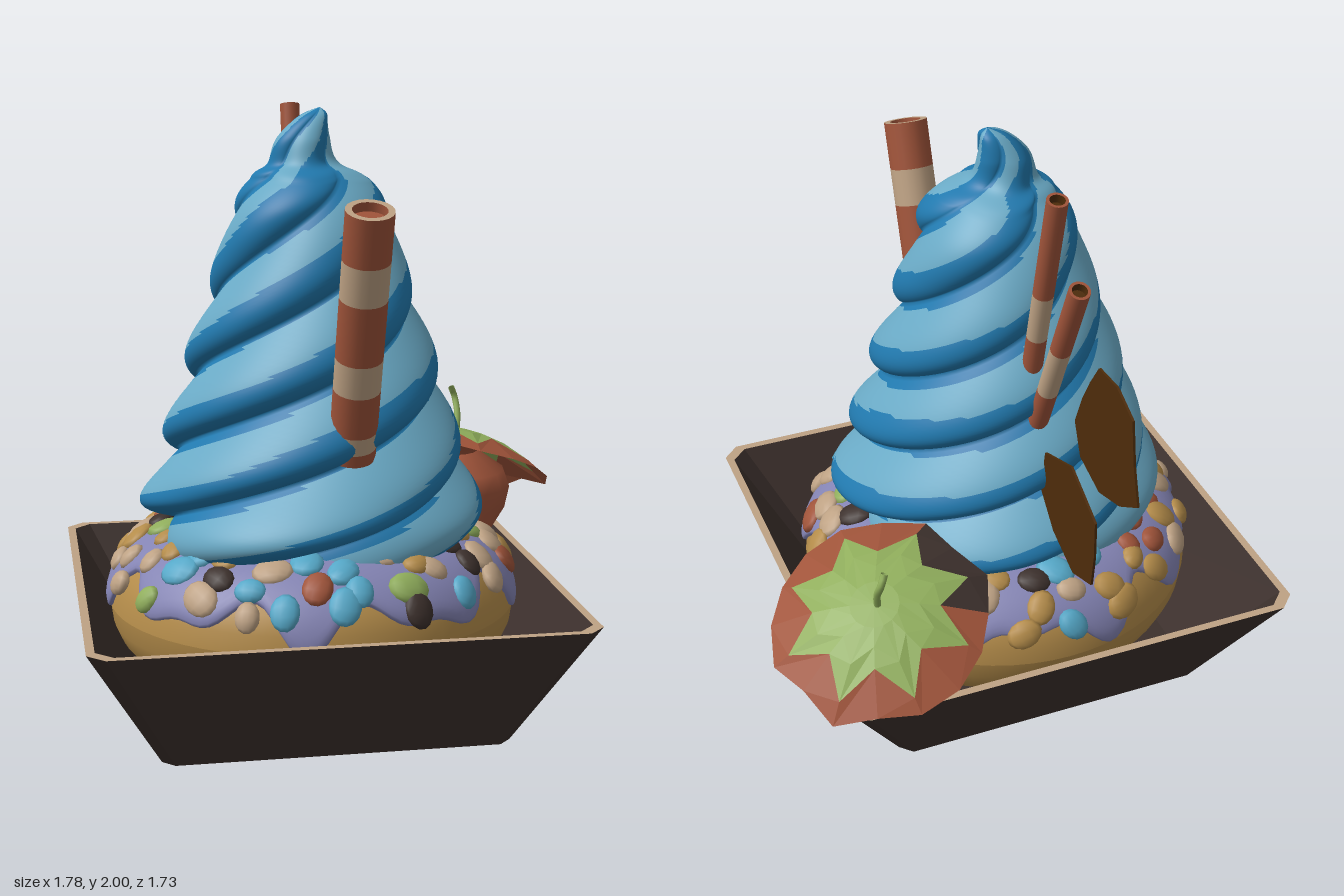
import * as THREE from 'three';

const mat = (name, color) => {
  const m = new THREE.MeshStandardMaterial({ color, side: THREE.DoubleSide });
  m.name = name;
  return m;
};

// Closed-in-u surface of nu x nv cells; pick(i, j) gives the material slot of a cell
function grid(nu, nv, point, pick = () => 0, flat = false) {
  const pos = [], lists = [[], [], []];
  for (let j = 0; j <= nv; j++)
    for (let i = 0; i < nu; i++) pos.push(...point(i, j));
  for (let j = 0; j < nv; j++)
    for (let i = 0; i < nu; i++) {
      const k = (i + 1) % nu;
      const a = j * nu + i, b = j * nu + k, c = b + nu, d = a + nu;
      lists[pick(i, j)].push(a, b, c, a, c, d);
    }
  let g = new THREE.BufferGeometry();
  g.setAttribute('position', new THREE.Float32BufferAttribute(pos, 3));
  g.setIndex(lists.flat());
  let start = 0;
  lists.forEach((list, slot) => {
    if (list.length) g.addGroup(start, list.length, slot);
    start += list.length;
  });
  if (flat) g = g.toNonIndexed();
  g.computeVertexNormals();
  return g;
}

export function createModel() {
  const model = new THREE.Group();
  const M = {
    bowl: mat('dark bowl', 0x3c302c), tan: mat('pale wafer', 0xbea284),
    dough: mat('golden dough', 0xb48c4a), icing: mat('lilac icing', 0x8484b4),
    light: mat('light blue cream', 0x6aaac6), dark: mat('deep blue cream', 0x2179ae),
    red: mat('berry brown', 0xa0543a), green: mat('leaf green', 0x90ae5c),
    choc: mat('chocolate', 0x4e2c0a), sky: mat('sky blue candy', 0x55a8c8),
  };
  const add = (name, geo, material, parent = model) => {
    const m = new THREE.Mesh(geo, material);
    m.name = name;
    parent.add(m);
    return m;
  };
  let seed = 7;
  const rand = () => (seed = (seed * 16807) % 2147483647) / 2147483647;
  const TAU = Math.PI * 2, CX = -0.095, CZ = 0.07;

  // Square bowl with chamfered corners and a pale rim: [half width, y]
  const rings = [[0, 0], [0.56, 0], [0.795, 0.435], [0.768, 0.435], [0.535, 0.03], [0, 0.03]];
  const square = (h) => {
    const c = h * 0.93;
    return [[-c, h], [c, h], [h, c], [h, -c], [c, -h], [-c, -h], [-h, -c], [-h, c]];
  };
  add('bowl', grid(8, 5, (i, j) => {
    const [x, z] = square(rings[j][0])[i];
    return [CX + x, rings[j][1], CZ + z];
  }, (i, j) => (j === 2 ? 1 : 0), true), [M.bowl, M.tan]);

  // Doughnut ring and its dripping icing
  const ringPoint = (a, phi, off = 0) => {
    const r = 0.42 + (0.26 + off) * Math.cos(phi);
    return [CX + r * Math.sin(a), 0.365 + (0.24 + off) * Math.sin(phi), CZ + r * Math.cos(a)];
  };
  add('doughnut', grid(64, 24, (i, j) => ringPoint(i / 64 * TAU, j / 24 * TAU)), M.dough);
  add('icing', grid(144, 16, (i, j) => {
    const a = i / 144 * TAU, v = j / 16;
    const end = 0.36 + 0.22 * Math.sin(9 * a) + 0.16 * Math.sin(14 * a + 1);
    return ringPoint(a, end + (2.8 - end) * v * v, 0.022 * Math.min(1, Math.sqrt(v * 4)) - 0.002);
  }), M.icing);

  // Candy pebbles scattered on the icing
  const pebble = new THREE.SphereGeometry(1, 10, 7);
  const candy = [M.tan, M.red, M.sky, M.dough, M.green, M.dough, M.bowl, M.sky, M.tan];
  const pebbles = new THREE.Group();
  pebbles.name = 'candyPebbles';
  model.add(pebbles);
  [[0.52, 22], [0.86, 26], [1.2, 26]].forEach(([row, n]) => {
    for (let i = 0; i < n; i++) {
      const a = (i + 0.5 * rand()) / n * TAU, phi = row + (rand() - 0.5) * 0.24;
      const p = add('pebble', pebble, candy[Math.floor(rand() * candy.length)], pebbles);
      p.position.set(...ringPoint(a, phi, 0.016));
      const normal = new THREE.Vector3(
        Math.sin(a) * Math.cos(phi), Math.sin(phi), Math.cos(a) * Math.cos(phi));
      p.quaternion.setFromUnitVectors(new THREE.Vector3(0, 0, 1), normal);
      p.rotateZ(rand() * TAU);
      const s = 0.044 + 0.02 * rand();
      p.scale.set(s * 1.12, s * 0.88, 0.026);
    }
  });

  // Whipped swirl: four lobes twisting upwards, light on top and deep blue beneath
  const profile = new THREE.SplineCurve([
    [0.5, 0.58], [0.575, 0.71], [0.535, 0.85], [0.48, 1.02], [0.425, 1.2], [0.365, 1.38],
    [0.31, 1.54], [0.262, 1.7], [0.185, 1.79], [0.115, 1.83], [0.09, 1.91], [0.05, 1.975], [0.001, 2.0],
  ].map((p) => new THREE.Vector2(...p)));
  const LOBES = 4, COLS = 26, ROWS = 130;
  add('creamSwirl', grid(LOBES * COLS, ROWS, (i, j) => {
    const p = profile.getPoint(j / ROWS), f = (i % COLS) / COLS;
    const bump = Math.pow(Math.sin(Math.PI * Math.pow(f, 1.15)), 0.8);
    const a = i / (LOBES * COLS) * TAU + (1.2 * p.y - 0.1 * p.y * p.y) * TAU;
    const r = p.x * (0.82 + 0.18 * bump);
    const tip = Math.max(0, p.y - 1.78);
    return [-0.1 - 0.6 * tip + 3.4 * tip * tip + r * Math.sin(a),
      p.y - 0.06 * bump * p.x, 0.085 + r * Math.cos(a)];
  }, (i, j) => {
    const lobe = Math.floor(i / COLS), f = (i % COLS) / COLS;
    const edge = 0.46 + 0.09 * Math.sin(j * 0.13 + lobe * 2) + 0.03 * Math.sin(j * 0.31);
    const inner = 0.06 + 0.05 * Math.sin(j * 0.17 + lobe);
    return f > inner && f < edge ? 0 : 1;
  }), [M.light, M.dark]);

  // Wafer sticks built from coloured bands: [end fraction, material]
  const stick = (name, from, to, radius, rimMaterial, coreMaterial, bands) => {
    const g = new THREE.Group();
    g.name = name;
    const a = new THREE.Vector3(...from), dir = new THREE.Vector3(...to).sub(a);
    const len = dir.length();
    g.position.copy(a);
    g.quaternion.setFromUnitVectors(new THREE.Vector3(0, 1, 0), dir.normalize());
    let start = 0;
    for (const [end, m] of bands) {
      const h = (end - start) * len;
      add('band', new THREE.CylinderGeometry(radius, radius, h, 20, 1, true), m, g)
        .position.y = start * len + h / 2;
      start = end;
    }
    const rim = add('rim', new THREE.RingGeometry(radius * 0.72, radius, 20), rimMaterial, g);
    rim.position.y = len;
    rim.rotation.x = -Math.PI / 2;
    add('hollow', new THREE.CylinderGeometry(radius * 0.72, radius * 0.72, 0.03, 20, 1, true), coreMaterial, g)
      .position.y = len - 0.015;
    [0, len - 0.03].forEach((y) => {
      const d = add('plug', new THREE.CircleGeometry(radius, 20), coreMaterial, g);
      d.position.y = y;
      d.rotation.x = -Math.PI / 2;
    });
    model.add(g);
  };
  stick('frontWafer', [-0.03, 0.93, 0.465], [-0.03, 1.73, 0.755], 0.075, M.tan, M.red,
    [[0.05, M.red], [0.12, M.tan], [0.29, M.red], [0.42, M.tan], [0.66, M.red], [0.81, M.tan], [1, M.red]]);
  stick('tallBackStick', [-0.09, 1.25, -0.24], [-0.09, 1.99, -0.415], 0.034, M.red, M.choc,
    [[0.26, M.red], [0.5, M.tan], [1, M.red]]);
  stick('shortBackStick', [-0.1, 1.1, -0.28], [-0.1, 1.765, -0.57], 0.034, M.red, M.choc,
    [[0.27, M.red], [0.58, M.tan], [1, M.red]]);

  // Thin chocolate shards standing behind the swirl, outlines in (z, y)
  const shard = (name, x, pts) => {
    const s = new THREE.Shape(pts.map(([z, y]) => new THREE.Vector2(-z, y)));
    const m = add(name, new THREE.ExtrudeGeometry(s, { depth: 0.008, bevelEnabled: false }), M.choc);
    m.rotation.y = Math.PI / 2;
    m.position.x = x;
  };
  shard('upperShard', -0.21, [[-0.51, 1.43], [-0.64, 1.44], [-0.755, 1.39], [-0.78, 1.24], [-0.82, 1.11],
    [-0.7, 1.03], [-0.55, 0.98], [-0.4, 1.02], [-0.35, 1.13], [-0.4, 1.25], [-0.45, 1.34]]);
  shard('lowerShard', -0.09, [[-0.59, 1.14], [-0.777, 1.05], [-0.78, 0.92], [-0.766, 0.8], [-0.63, 0.745],
    [-0.47, 0.8], [-0.36, 0.9], [-0.39, 1.06]]);

  // Berry in the back corner, its lower end leaning in along the sloping wall: [radius, y]
  const body = [[0, 0.16], [0.07, 0.19], [0.13, 0.29], [0.17, 0.4], [0.205, 0.5], [0.222, 0.58], [0.2, 0.64], [0.1, 0.71]];
  add('berryBody', grid(16, 7, (i, j) => {
    const [r, y] = body[j], a = i / 16 * TAU, lean = 0.65 * Math.max(0, 0.47 - y);
    return [0.525 - lean + r * Math.sin(a), y, -0.515 + lean + r * Math.cos(a)];
  }), M.red);

  // Tilted leafy cap: green star on a drooping brown disc with a dark patch
  const cap = add('berryCap', grid(16, 4, (i, j) => {
    const a = i / 16 * TAU, point = i % 2 === 0;
    const rim = 0.352 + (point ? 0.012 : -0.006) + 0.014 * Math.sin(i * 2.3);
    const r = [rim, point ? 0.31 : 0.205, point ? 0.2 : 0.14, 0.08, 0][j];
    return [r * Math.sin(a), 0.1 - 0.95 * r * r, r * Math.cos(a)];
  }, (i, j) => (j > 0 ? 1 : i > 10 && i < 14 ? 2 : 0), true), [M.red, M.green, M.bowl]);
  cap.position.set(0.545, 0.68, -0.535);
  cap.quaternion.setFromUnitVectors(
    new THREE.Vector3(0, 1, 0), new THREE.Vector3(0.28, 1, -0.36).normalize());

  // Curved stem
  const stem = new THREE.CatmullRomCurve3([[0.56, 0.76, -0.57], [0.57, 0.83, -0.6], [0.565, 0.89, -0.63], [0.55, 0.925, -0.62]]
    .map((p) => new THREE.Vector3(...p)));
  add('berryStem', new THREE.TubeGeometry(stem, 10, 0.012, 8), M.green);

  return model;
}
